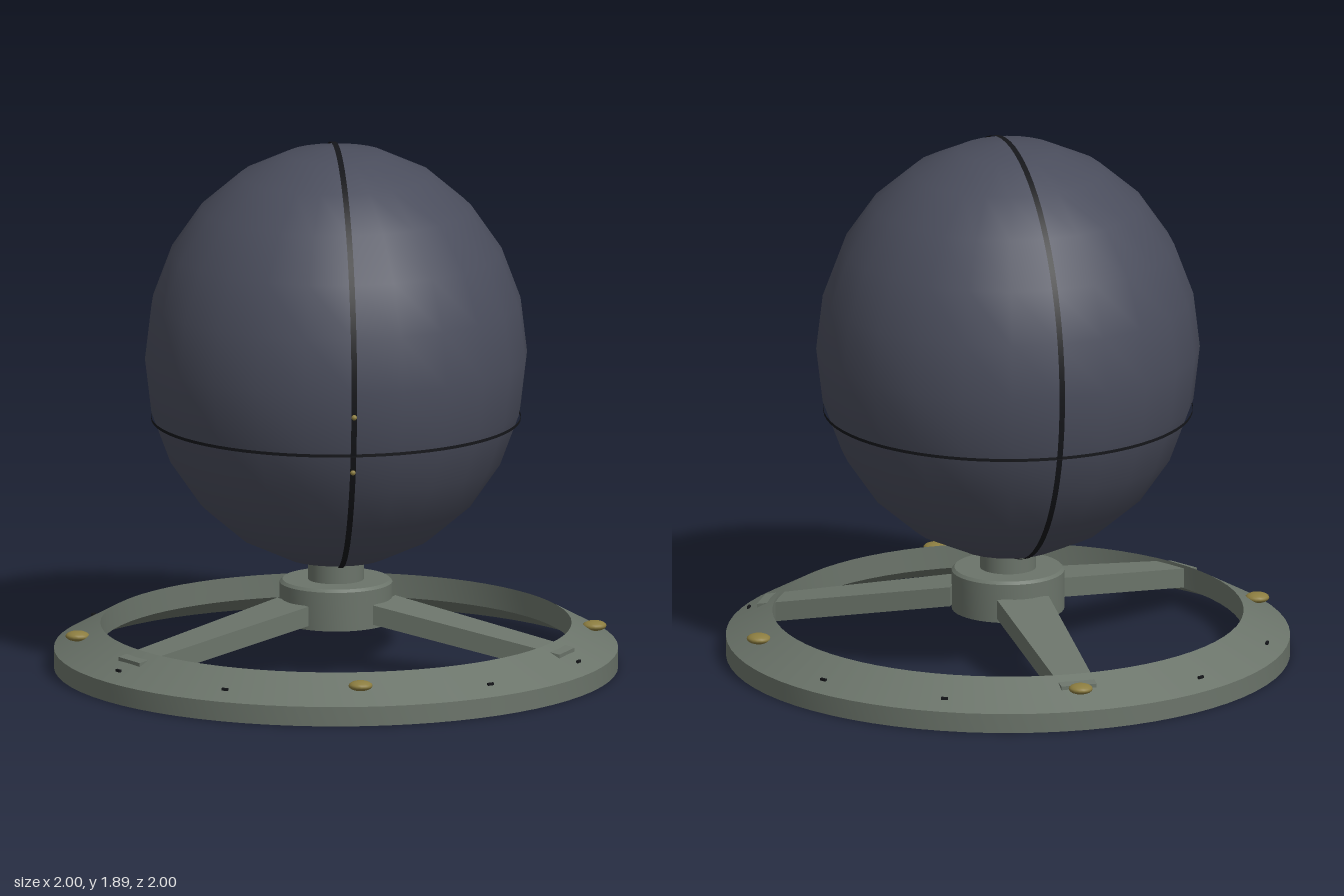
import * as THREE from 'three';
import { toCreasedNormals } from 'three/addons/utils/BufferGeometryUtils.js';

const mat = (name, color, side = THREE.FrontSide) => {
  const m = new THREE.MeshStandardMaterial({ color, side });
  m.name = name;
  return m;
};

export function createModel() {
  const group = new THREE.Group();
  const shell = mat('slate shell', 0x4a4d5c);
  const metal = mat('grey green metal', 0x6b746a);
  const brass = mat('brass', 0x8c7d40);
  const black = mat('black seam', 0x15161a, THREE.DoubleSide);

  const add = (name, geometry, material, x = 0, y = 0, z = 0) => {
    const mesh = new THREE.Mesh(geometry, material);
    mesh.name = name;
    mesh.position.set(x, y, z);
    group.add(mesh);
    return mesh;
  };
  const lathe = (points, segments) => toCreasedNormals(
    new THREE.LatheGeometry(points.map(([r, y]) => new THREE.Vector2(r, y)), segments), 0.4);

  // Egg-shaped ball with its two seams
  const CY = 1.13;
  add('ball', new THREE.SphereGeometry(1, 24, 12).scale(0.68, 0.755, 0.68), shell, 0, CY, 0);
  add('meridianSeam', new THREE.CylinderGeometry(1, 1, 0.02, 72, 1, true)
    .rotateZ(Math.PI / 2).scale(1, 0.759, 0.687), black, 0, CY, 0);
  add('horizontalSeam', new THREE.CylinderGeometry(0.655, 0.655, 0.011, 72, 1, true), black, 0, 0.905, 0);

  // Small studs on the front seam
  add('upperStud', new THREE.SphereGeometry(0.01, 10, 8), brass, 0, 1.05, 0.685);
  add('lowerStud', new THREE.SphereGeometry(0.01, 10, 8), brass, 0, 0.84, 0.635);

  // Base ring: a sloped band, hollow underneath
  add('baseRing', lathe([[0.835, 0.075], [1, 0], [1, 0.07], [0.835, 0.16], [0.835, 0.075]], 72), metal);

  // Hub and neck
  add('hub', lathe([[0, 0.17], [0.2, 0.17], [0.2, 0.31], [0.19, 0.32], [0, 0.32]], 40), metal);
  add('neck', new THREE.CylinderGeometry(0.1, 0.1, 0.14, 32), metal, 0, 0.38, 0);

  // Three tapered spokes sloping down from the hub through the ring
  const spokeGeometry = new THREE.BoxGeometry(1, 1, 1);
  const p = spokeGeometry.attributes.position;
  for (let i = 0; i < p.count; i++) {
    const t = p.getZ(i) + 0.5;
    const top = THREE.MathUtils.lerp(0.257, 0.137, t);
    p.setXYZ(i, p.getX(i) * THREE.MathUtils.lerp(0.19, 0.13, t),
      p.getY(i) > 0 ? top : top - 0.07, THREE.MathUtils.lerp(0.188, 0.9, t));
  }
  spokeGeometry.computeVertexNormals();
  ['leftSpoke', 'backSpoke', 'rightSpoke'].forEach((name, i) => {
    add(name, spokeGeometry, metal).rotation.y = Math.PI / 3 + i * Math.PI * 2 / 3;
  });

  // Brass domes on the ring, with two small notches between each pair
  const dome = new THREE.SphereGeometry(1, 16, 10).scale(0.043, 0.018, 0.043);
  const notch = new THREE.BoxGeometry(0.024, 0.009, 0.009);
  for (let i = 0; i < 12; i++) {
    const a = i * Math.PI / 6;
    if (i % 3 === 0) {
      add('dome', dome, brass, 0.92 * Math.sin(a), 0.13, 0.92 * Math.cos(a));
    } else {
      add('notch', notch, black, 0.945 * Math.sin(a), 0.104, 0.945 * Math.cos(a)).rotation.y = a;
    }
  }
  return group;
}
